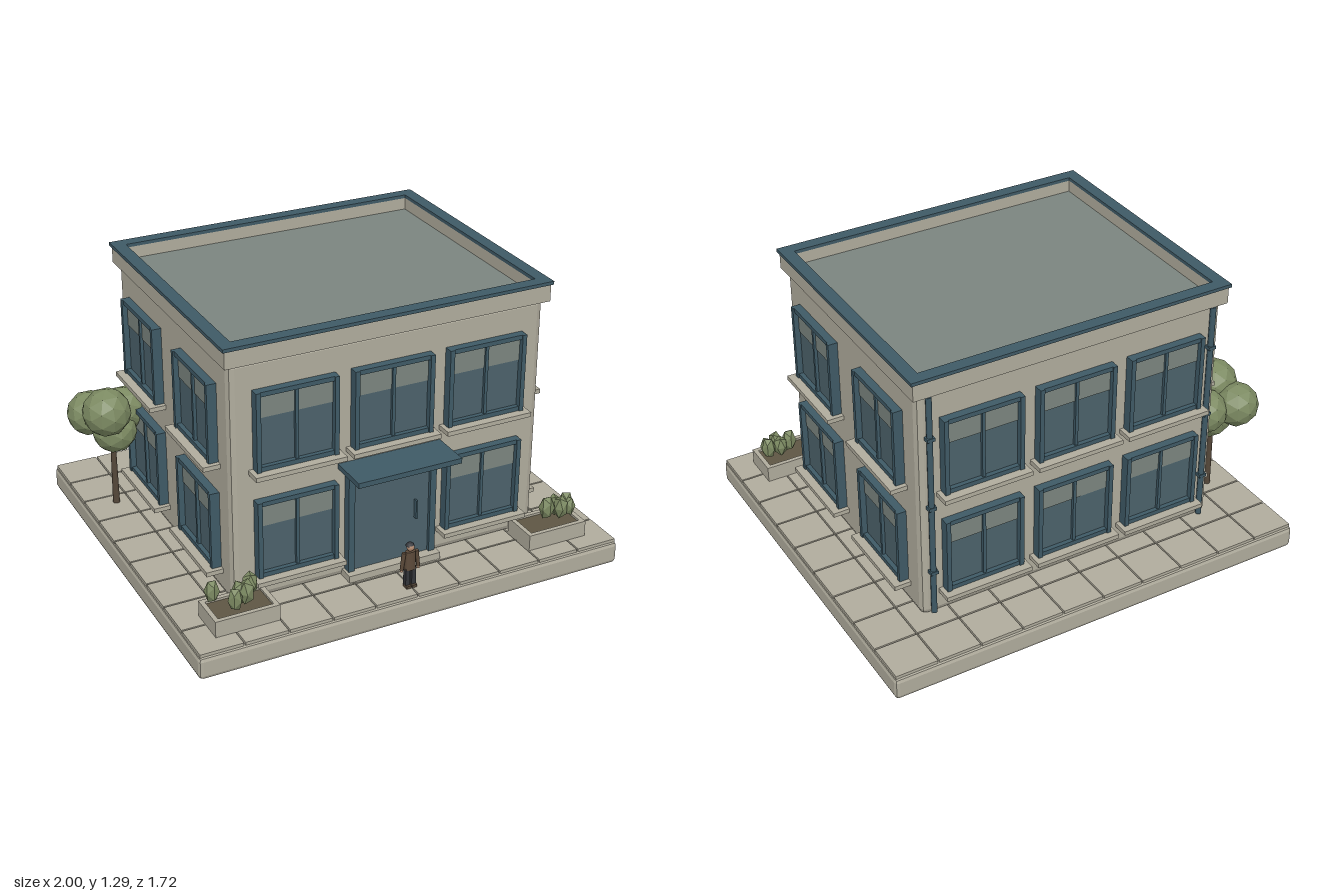
import * as THREE from 'three';
import { RoundedBoxGeometry } from 'three/addons/geometries/RoundedBoxGeometry.js';

const mat = (name, color) => {
  const m = new THREE.MeshStandardMaterial({ color });
  m.name = name;
  return m;
};
const M = {
  stone: mat('warm stone', 0xb0ac9d),
  trim: mat('slate blue trim', 0x3f5a66),
  glass: mat('window glass', 0x4c626b),
  blind: mat('grey green roof and blinds', 0x7b857f),
  leaf: mat('leaf green', 0x7c8a62),
  soil: mat('soil', 0x5e5644),
  bark: mat('bark', 0x55483a),
  coat: mat('brown coat', 0x5c4a3a),
  dark: mat('dark cloth', 0x33353a),
  skin: mat('skin', 0xb08a70),
};

const CX = 0.018;                        // building axis
const WALL = { x: 0.708, z: 0.58 };      // half sizes of the walls

function add(parent, name, geo, material, x = 0, y = 0, z = 0) {
  const m = new THREE.Mesh(geo, material);
  m.name = name;
  m.position.set(x, y, z);
  parent.add(m);
  return m;
}
// box given by its centre in x and z, and its bottom and top in y
const box = (parent, name, material, x, y0, y1, z, w, d) =>
  add(parent, name, new THREE.BoxGeometry(w, y1 - y0, d), material, x, (y0 + y1) / 2, z);

function chamferBox(parent, name, material, x, y0, y1, z, w, d, c) {
  const g = new RoundedBoxGeometry(w, y1 - y0, d, 1, c);
  g.computeVertexNormals();
  return add(parent, name, g, material, x, (y0 + y1) / 2, z);
}
// hollow rectangle lying flat
function ring(parent, name, material, x, y0, y1, hx, hz, t) {
  const rect = (P, a, b) => new P([[-a, -b], [a, -b], [a, b], [-a, b]].map(p => new THREE.Vector2(...p)));
  const s = rect(THREE.Shape, hx, hz);
  s.holes.push(rect(THREE.Path, hx - t, hz - t));
  const g = new THREE.ExtrudeGeometry(s, { depth: y1 - y0, bevelEnabled: false });
  g.rotateX(-Math.PI / 2);
  return add(parent, name, g, material, x, y0, 0);
}
function blob(parent, name, r, detail, x, y, z, stretch = 1) {
  const g = new THREE.IcosahedronGeometry(r, detail);
  g.scale(1, stretch, 1);
  g.computeVertexNormals();
  return add(parent, name, g, M.leaf, x, y, z);
}

// window facing +z with its sill on the wall plane z = 0
function makeWindow() {
  const g = new THREE.Group();
  g.name = 'window';
  const W = 0.36, H = 0.347, t = 0.02;
  box(g, 'glass', M.glass, 0, 0.005, H - 0.005, 0.008, W - 0.02, 0.016);
  box(g, 'blind', M.blind, 0, H - 0.118, H - t, 0.018, W - 2 * t, 0.004);
  for (const s of [-1, 1]) {
    box(g, 'frameSide', M.trim, s * (W - t) / 2, 0, H, 0.02, t, 0.044);
    box(g, 'frameRail', M.trim, 0, s < 0 ? 0 : H - t, s < 0 ? t : H, 0.018, W - 2 * t, 0.036);
  }
  box(g, 'mullion', M.trim, 0, t, H - t, 0.016, 0.014, 0.028);
  box(g, 'sill', M.stone, 0, -0.02, 0, 0.037, 0.4, 0.075);
  return g;
}

function addWindows(parent) {
  const cols = { long: [-0.43, 0, 0.43], short: [-0.285, 0.285] };
  for (let side = 0; side < 4; side++) {
    const long = side % 2 === 0;
    const face = new THREE.Group();
    face.name = ['front', 'left', 'back', 'right'][side] + 'Windows';
    face.position.x = CX;
    face.rotation.y = side * Math.PI / 2;
    for (const y of [0.25, 0.736]) {
      for (const x of long ? cols.long : cols.short) {
        if (side === 0 && x === 0 && y < 0.5) continue;   // the door stands here
        const w = makeWindow();
        w.position.set(x, y, long ? WALL.z : WALL.x);
        face.add(w);
      }
    }
    parent.add(face);
  }
}

function addBase(parent) {
  box(parent, 'foot', M.trim, CX, 0, 0.025, 0, 1.83, 1.63);
  chamferBox(parent, 'baseSlab', M.stone, CX, 0.02, 0.122, 0, 1.955, 1.72, 0.018);
  const paving = new THREE.Group();
  paving.name = 'paving';
  const nx = 10, nz = 9, sx = 0.1945, sz = 0.189;
  for (let i = 0; i < nx; i++) for (let j = 0; j < nz; j++) {
    box(paving, 'pavingTile', M.stone, CX + (i - (nx - 1) / 2) * sx, 0.118, 0.134,
      (j - (nz - 1) / 2) * sz, sx - 0.007, sz - 0.007);
  }
  parent.add(paving);
}

function addBuilding(parent) {
  chamferBox(parent, 'walls', M.stone, CX, 0.13, 1.215, 0, WALL.x * 2, WALL.z * 2, 0.028);
  ring(parent, 'parapet', M.stone, CX, 1.2, 1.276, 0.728, 0.598, 0.045);
  ring(parent, 'parapetCap', M.trim, CX, 1.275, 1.29, 0.737, 0.605, 0.056);
  box(parent, 'roofDeck', M.blind, CX, 1.205, 1.22, 0, 1.38, 1.12);
  // downspouts on the back corners
  for (const s of [-1, 1]) {
    const x = CX + s * 0.66, z = -WALL.z - 0.013;
    add(parent, 'downspout', new THREE.CylinderGeometry(0.013, 0.013, 1.05, 8), M.trim, x, 0.675, z);
    for (const y of [0.35, 0.67, 1.0]) box(parent, 'pipeClip', M.trim, x, y, y + 0.015, z, 0.034, 0.03);
  }
}

function addEntrance(parent) {
  const g = new THREE.Group();
  g.name = 'entrance';
  g.position.set(CX, 0, WALL.z);
  box(g, 'doorstep', M.stone, 0, 0.13, 0.165, 0.03, 0.43, 0.08);
  box(g, 'door', M.glass, 0, 0.165, 0.607, 0.012, 0.35, 0.026);
  for (const s of [-1, 1]) box(g, 'doorPost', M.trim, s * 0.19, 0.165, 0.63, 0.018, 0.028, 0.042);
  box(g, 'doorLintel', M.trim, 0, 0.605, 0.63, 0.014, 0.36, 0.03);
  box(g, 'doorHandle', M.trim, 0.11, 0.345, 0.43, 0.038, 0.008, 0.02);
  box(g, 'canopy', M.trim, 0, 0.645, 0.668, 0.09, 0.472, 0.185);
  parent.add(g);
}

function addPlanter(parent, name, x, plants) {
  const g = new THREE.Group();
  g.name = name;
  const z = 0.68, w = 0.282, d = 0.172, t = 0.02;
  for (const s of [-1, 1]) {
    box(g, 'planterEnd', M.stone, x + s * (w - t) / 2, 0.132, 0.206, z, t, d);
    box(g, 'planterSide', M.stone, x, 0.132, 0.206, z + s * (d - t) / 2, w - 2 * t, t);
  }
  box(g, 'planterSoil', M.soil, x, 0.132, 0.196, z, w - 2 * t, d - 2 * t);
  plants.forEach(([px, pz, r], i) => {
    blob(g, 'shrub', r, 0, px, 0.215 + r * 1.4, pz, 1.65).rotation.y = i * 1.3;
  });
  parent.add(g);
}

function addTree(parent) {
  const g = new THREE.Group();
  g.name = 'tree';
  add(g, 'trunk', new THREE.CylinderGeometry(0.011, 0.016, 0.38, 7), M.bark, -0.822, 0.32, -0.41);
  const crowns = [
    [-0.9, 0.57, -0.475, 0.1], [-0.865, 0.625, -0.345, 0.108],
    [-0.75, 0.57, -0.45, 0.1], [-0.815, 0.5, -0.4, 0.1],
  ];
  for (const [x, y, z, r] of crowns) blob(g, 'crown', r, 1, x, y, z);
  parent.add(g);
}

function addFigure(parent) {
  const g = new THREE.Group();
  g.name = 'figure';
  g.position.set(0.016, 0.134, 0.775);
  for (const s of [-1, 1]) {
    box(g, 'leg', M.dark, s * 0.014, 0.008, 0.09, 0, 0.02, 0.022);
    box(g, 'shoe', M.bark, s * 0.014, 0, 0.012, 0.005, 0.021, 0.034);
    const arm = add(g, 'arm', new THREE.CylinderGeometry(0.009, 0.008, 0.08, 6), M.coat, s * 0.034, 0.125, 0);
    arm.rotation.z = s * 0.12;
    add(g, 'hand', new THREE.SphereGeometry(0.008, 6, 5), M.skin, s * 0.039, 0.082, 0);
  }
  const torso = add(g, 'torso', new THREE.CylinderGeometry(0.024, 0.028, 0.085, 8), M.coat, 0, 0.125, 0);
  torso.scale.z = 0.65;
  add(g, 'head', new THREE.SphereGeometry(0.018, 8, 6), M.skin, 0, 0.186, 0);
  add(g, 'hair', new THREE.SphereGeometry(0.02, 8, 4, 0, Math.PI * 2, 0, 1.35), M.dark, 0, 0.187, -0.003);
  parent.add(g);
}

export function createModel() {
  const model = new THREE.Group();
  model.name = 'officeBuilding';
  addBase(model);
  addBuilding(model);
  addWindows(model);
  addEntrance(model);
  addPlanter(model, 'rightPlanter', -0.708, [
    [-0.805, 0.632, 0.033], [-0.645, 0.647, 0.034], [-0.745, 0.727, 0.033],
    [-0.685, 0.7, 0.036], [-0.71, 0.685, 0.033],
  ]);
  addPlanter(model, 'leftPlanter', 0.745, [
    [0.742, 0.676, 0.035], [0.79, 0.66, 0.032], [0.845, 0.668, 0.033], [0.8, 0.695, 0.034], [0.845, 0.692, 0.029],
  ]);
  addTree(model);
  addFigure(model);
  return model;
}
